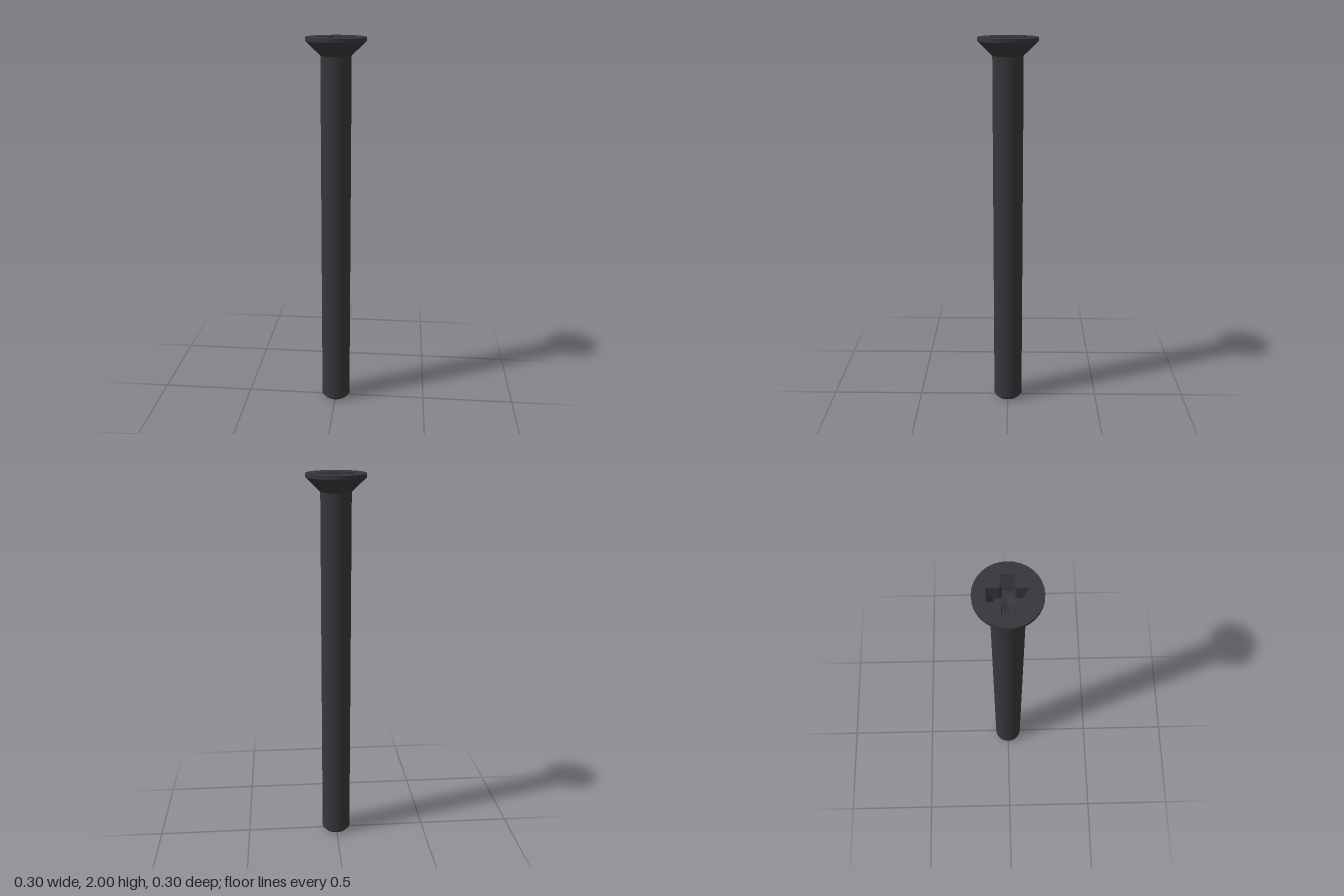
import * as THREE from 'three';
import { toCreasedNormals } from 'three/addons/utils/BufferGeometryUtils.js';

const SIDES = 32;
const HEAD_R = 0.152, SHAFT_R = 0.078;
const RECESS_DEPTH = 0.09, DIMPLE_R = 0.036, DIMPLE_DEPTH = 0.015;

// Cross outline with bevelled inner corners, counter-clockwise
function crossLoop(halfWidth, reach, inner) {
  const points = [];
  for (let i = 0; i < 4; i++) {
    for (const [x, y] of [[inner, -halfWidth], [reach, -halfWidth], [reach, halfWidth], [inner, halfWidth]]) {
      points.push(new THREE.Vector2(x, y).rotateAround(new THREE.Vector2(), i * Math.PI / 2));
    }
  }
  return points;
}

function circleLoop(radius) {
  return Array.from({ length: SIDES }, (_, i) => {
    const a = i / SIDES * Math.PI * 2;
    return new THREE.Vector2(Math.cos(a) * radius, Math.sin(a) * radius);
  });
}

// Horizontal face with one hole
function flatFace(outline, hole, y) {
  const shape = new THREE.Shape(outline);
  shape.holes.push(new THREE.Path(hole));
  return new THREE.ShapeGeometry(shape).rotateX(-Math.PI / 2).translate(0, y, 0);
}

// Inward-facing walls between two matching loops
function recessWalls(top, bottom, yTop, yBottom) {
  const positions = [];
  const n = top.length;
  for (let i = 0; i < n; i++) {
    const j = (i + 1) % n;
    const a = [top[i].x, yTop, -top[i].y], b = [top[j].x, yTop, -top[j].y];
    const c = [bottom[i].x, yBottom, -bottom[i].y], d = [bottom[j].x, yBottom, -bottom[j].y];
    positions.push(...a, ...b, ...c, ...b, ...d, ...c);
  }
  const geometry = new THREE.BufferGeometry();
  geometry.setAttribute('position', new THREE.Float32BufferAttribute(positions, 3));
  geometry.computeVertexNormals();
  return geometry;
}

function lathe(profile) {
  const points = profile.map(([r, y]) => new THREE.Vector2(r, y));
  return toCreasedNormals(new THREE.LatheGeometry(points, SIDES), 0.4);
}

export function createModel() {
  const group = new THREE.Group();
  const material = new THREE.MeshStandardMaterial({ color: 0x35373a });
  const add = (name, geometry) => {
    const mesh = new THREE.Mesh(geometry, material);
    mesh.name = name;
    group.add(mesh);
  };

  // Plain shank with a chamfered tip
  add('shank', lathe([[0, 0], [0.063, 0], [SHAFT_R, 0.016], [SHAFT_R, 1.91]]));

  // Countersunk head with a thin straight rim
  add('countersunkHead', lathe([[SHAFT_R, 1.91], [HEAD_R, 1.982], [HEAD_R, 2]]));

  // Tapered cross recess with a conical dimple in its floor
  const topCross = crossLoop(0.03, 0.092, 0.037);
  const floorCross = crossLoop(0.026, 0.06, 0.034);
  const floorY = 2 - RECESS_DEPTH;
  add('headTop', flatFace(circleLoop(HEAD_R), topCross, 2));
  add('recessWalls', recessWalls(topCross, floorCross, 2, floorY));
  add('recessFloor', flatFace(floorCross, circleLoop(DIMPLE_R), floorY));
  add('recessDimple', lathe([[0, floorY - DIMPLE_DEPTH], [DIMPLE_R, floorY]]).scale(1, 1, 1));
  const dimple = group.children[group.children.length - 1];
  dimple.material = material.clone();
  dimple.material.side = THREE.BackSide;

  return group;
}
